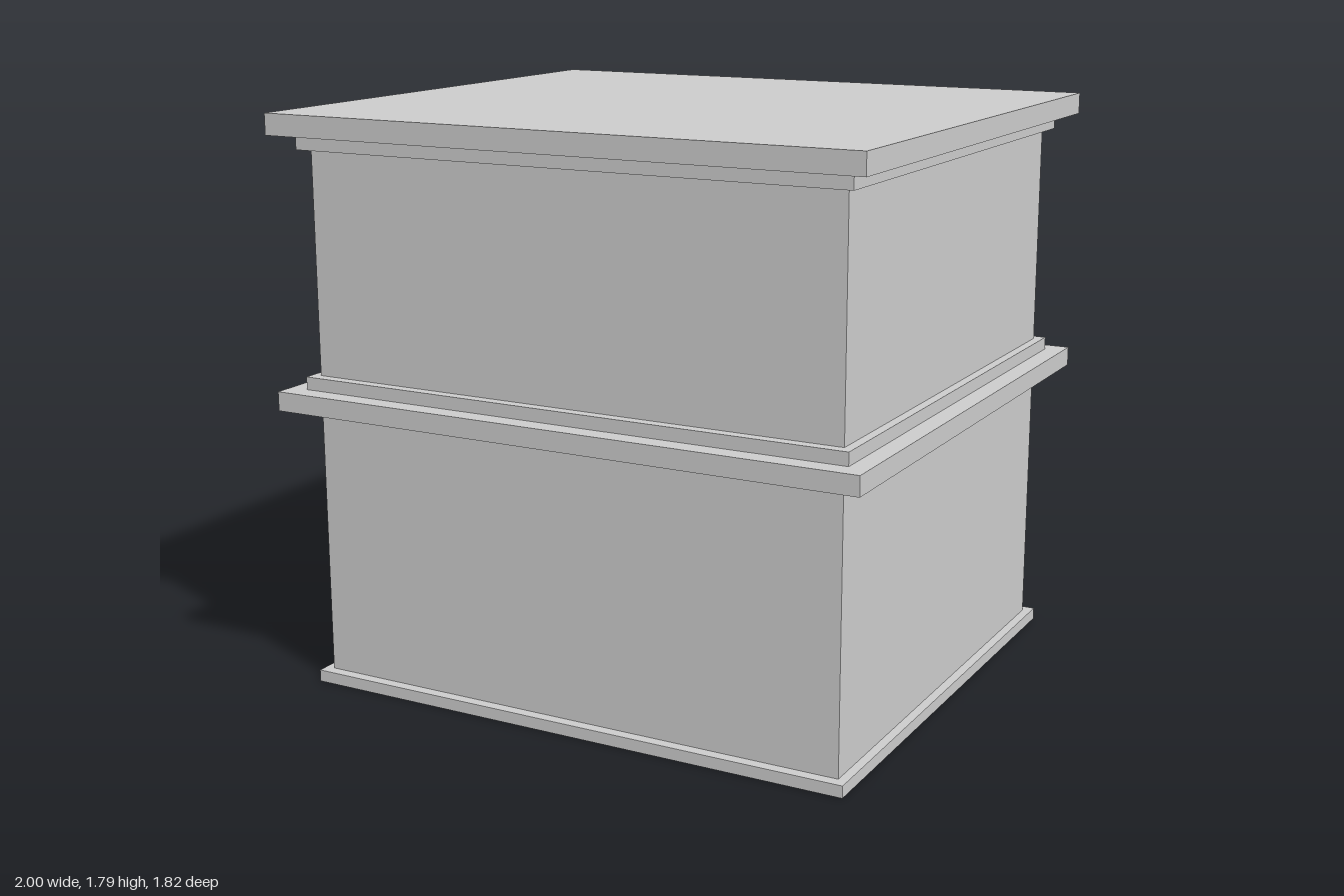
import * as THREE from 'three';

// name, width, depth, bottom, top
const LAYERS = [
  ['plinth', 1.804, 1.61, 0, 0.037],
  ['lowerWalls', 1.747, 1.54, 0.037, 0.872],
  ['middleLowerTrim', 1.804, 1.61, 0.872, 0.89],
  ['middleLedge', 1.925, 1.736, 0.89, 0.95],
  ['middleUpperTrim', 1.804, 1.61, 0.95, 0.99],
  ['upperWalls', 1.747, 1.54, 0.99, 1.683],
  ['corniceTrim', 1.804, 1.61, 1.683, 1.729],
  ['roofSlab', 1.925, 1.736, 1.729, 1.795],
];

export function createModel() {
  const model = new THREE.Group();
  model.name = 'twoStoreyBlock';
  const material = new THREE.MeshStandardMaterial({ color: 0xcccccc, flatShading: true });

  // Stacked storeys, trims and ledges
  for (const [name, width, depth, bottom, top] of LAYERS) {
    const mesh = new THREE.Mesh(new THREE.BoxGeometry(width, top - bottom, depth), material);
    mesh.name = name;
    mesh.position.y = (bottom + top) / 2;
    model.add(mesh);
  }

  // The whole block stands slightly turned
  model.rotation.y = -0.043;
  return model;
}
